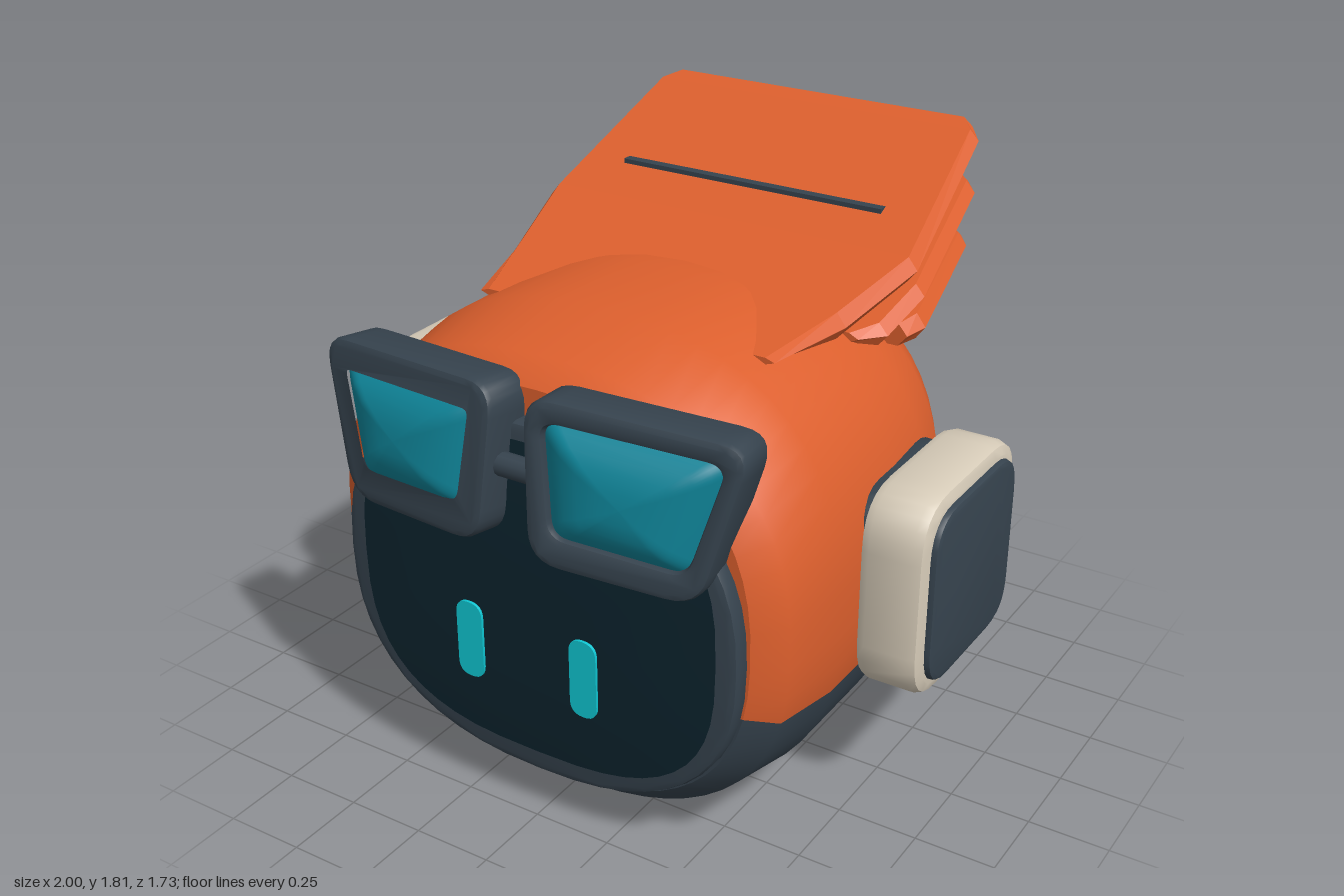
import * as THREE from 'three';
import { toCreasedNormals } from 'three/addons/utils/BufferGeometryUtils.js';

const mat = (name, color) => {
  const m = new THREE.MeshStandardMaterial({ color });
  m.name = name;
  return m;
};

// Skin over closed rings, front to back, each anticlockwise seen from the front.
function loft(rings) {
  const n = rings[0].length, index = [];
  for (let j = 0; j < n; j++) {
    const k = (j + 1) % n;
    for (let i = 0; i < rings.length - 1; i++) {
      const a = i * n, b = a + n;
      index.push(a + j, b + j, b + k, a + j, b + k, a + k);
    }
  }
  const g = new THREE.BufferGeometry();
  g.setAttribute('position', new THREE.Float32BufferAttribute(rings.flat(2), 3));
  g.setIndex(index);
  g.computeVertexNormals();
  return g;
}

const power = (v, e) => Math.sign(v) * Math.abs(v) ** e;

// Squared-off oval
function ovalShape(hw, cy, hh, n, count = 48) {
  const pts = [];
  for (let i = 0; i < count; i++) {
    const t = (i / count) * Math.PI * 2;
    pts.push(new THREE.Vector2(hw * power(Math.cos(t), 2 / n), cy + hh * power(Math.sin(t), 2 / n)));
  }
  return new THREE.Shape(pts);
}

// Polygon with rounded corners
function roundedPoly(points, r) {
  const p = points.map(([x, y]) => new THREE.Vector2(x, y));
  const shape = new THREE.Shape();
  p.forEach((c, i) => {
    const prev = p[(i + p.length - 1) % p.length], next = p[(i + 1) % p.length];
    const a = c.clone().add(prev.clone().sub(c).setLength(r));
    const b = c.clone().add(next.clone().sub(c).setLength(r));
    if (i) shape.lineTo(a.x, a.y); else shape.moveTo(a.x, a.y);
    shape.quadraticCurveTo(c.x, c.y, b.x, b.y);
  });
  shape.closePath();
  return shape;
}

const rect = (w, h, r) =>
  roundedPoly([[w / 2, h / 2], [-w / 2, h / 2], [-w / 2, -h / 2], [w / 2, -h / 2]], r);

// Bevelled slab from z = 0 to z = depth that keeps to its outline
function slab(shape, depth, bevel) {
  const g = new THREE.ExtrudeGeometry(shape, {
    depth: depth - 2 * bevel, bevelEnabled: bevel > 0, bevelThickness: bevel,
    bevelSize: bevel, bevelOffset: -bevel, bevelSegments: 2, curveSegments: 6,
  });
  g.translate(0, 0, bevel);
  return toCreasedNormals(g, 0.6);
}

// Bulging sheet filling an outline
function dome(shape, bulge, cx = 0, cy = 0) {
  const pts = shape.getPoints(6);
  if (pts[0].distanceTo(pts[pts.length - 1]) < 1e-4) pts.pop();
  if (THREE.ShapeUtils.isClockWise(pts)) pts.reverse();
  return loft([0, 0.25, 0.5, 0.7, 0.85, 1].map((t) =>
    pts.map((p) => [cx + (p.x - cx) * t, cy + (p.y - cy) * t, bulge * (1 - t ** 3)])));
}

// Head sections: z, half width, bottom, top, height of the colour seam
const SECTIONS = [
  [0.685, 0.001, 0.53, 0.57, 0.55], [0.685, 0.68, 0.13, 1.37, 0.55], [0.685, 0.68, 0.13, 1.37, 0.55],
  [0.62, 0.765, 0.075, 1.44, 0.53], [0.37, 0.79, 0.01, 1.5, 0.5], [0, 0.785, 0.003, 1.5, 0.49],
  [-0.2, 0.77, 0.02, 1.485, 0.49], [-0.36, 0.735, 0.04, 1.45, 0.5], [-0.48, 0.67, 0.1, 1.4, 0.51],
  [-0.57, 0.58, 0.16, 1.32, 0.54], [-0.6, 0.53, 0.22, 1.28, 0.43], [-0.64, 0.43, 0.34, 1.18, 0.52],
  [-0.67, 0.32, 0.46, 1.07, 0.55], [-0.695, 0.12, 0.65, 0.86, 0.66], [-0.7, 0.001, 0.749, 0.751, 0.75],
];

function headGeometry() {
  const up = 32, low = 24, n = 2.4;
  const rings = SECTIONS.map(([z, hw, y0, y1, seam]) => {
    const cy = (y0 + y1) / 2, hh = (y1 - y0) / 2;
    const s = THREE.MathUtils.clamp((seam - cy) / hh, -1, 1);
    const t0 = Math.asin(power(s, n / 2)), span = Math.PI - 2 * t0;
    const ring = [];
    for (let j = 0; j < up + low; j++) {
      const t = j < up ? t0 + (span * j) / up
        : t0 + span + ((Math.PI * 2 - span) * (j - up)) / low;
      ring.push([hw * power(Math.cos(t), 2 / n), cy + hh * power(Math.sin(t), 2 / n), z]);
    }
    return ring;
  });
  const g = loft(rings), per = (rings.length - 1) * 6;
  g.addGroup(0, up * per, 0);
  g.addGroup(up * per, low * per, 1);
  return g;
}

// Crest plate from stations: z, y, half width, thickness
function plateGeometry(stations) {
  const rings = stations.map(([z, y, w, t]) => {
    const h = t / 2, e = w - 0.03;
    return [[w, y, z], [e, y + h, z], [-e, y + h, z], [-w, y, z], [-e, y - h, z], [e, y - h, z]];
  });
  const cap = ([z, y]) => Array.from({ length: 6 }, () => [0, y, z]);
  const g = loft([cap(stations[0]), ...rings, cap(stations[stations.length - 1])]);
  const flat = g.toNonIndexed();
  flat.computeVertexNormals();
  return flat;
}

export function createModel() {
  const root = new THREE.Group();
  root.name = 'robotHead';
  const orange = mat('orange', 0xdc5f2d), dark = mat('slate', 0x36434e), cream = mat('cream', 0xd6cbb8);
  const screenMat = mat('screenBlack', 0x0c232d), lensMat = mat('teal', 0x0f8498);
  const eyeMat = mat('cyan', 0x0fc6d2), slotMat = mat('slotBlack', 0x171d22);
  const add = (parent, name, geo, material, x = 0, y = 0, z = 0) => {
    const m = new THREE.Mesh(geo, material);
    m.name = name;
    m.position.set(x, y, z);
    parent.add(m);
    return m;
  };

  add(root, 'headShell', headGeometry(), [orange, dark]);

  // Face
  add(root, 'faceRim', slab(ovalShape(0.67, 0.72, 0.565, 2.4), 0.075, 0.02), dark, 0, 0, 0.662);
  add(root, 'faceScreen', dome(ovalShape(0.605, 0.73, 0.505, 2.8), 0.018, 0, 0.73), screenMat, 0, 0, 0.739);

  for (const s of [1, -1]) {
    add(root, 'eye', slab(rect(0.09, 0.25, 0.044), 0.009, 0), eyeMat, s * 0.197, 0.565, 0.768);

    // Goggles
    const goggle = new THREE.Group();
    goggle.name = 'goggle';
    goggle.position.set(s * 0.35, 1.16, 0.64);
    goggle.rotation.set(-0.11, s * 0.12, 0);
    root.add(goggle);
    const side = (pts) => pts.map(([x, y]) => [s * x, y]);
    const opening = side([[0.265, 0.16], [-0.265, 0.17], [-0.225, -0.145], [0.175, -0.16]]);
    const frame = roundedPoly(side([[0.34, 0.225], [-0.325, 0.24], [-0.29, -0.235], [0.22, -0.245]]), 0.1);
    frame.holes.push(roundedPoly(opening, 0.05));
    add(goggle, 'goggleFrame', slab(frame, 0.165, 0.02), dark);
    add(goggle, 'goggleLens', dome(roundedPoly(side([[0.28, 0.175], [-0.28, 0.185], [-0.24, -0.16], [0.19, -0.175]]), 0.05), 0.085), lensMat, 0, 0, 0.125);

    // Ear pads
    const ear = new THREE.Group();
    ear.name = 'earPad';
    ear.position.set(s * 0.72, 0.77, -0.035);
    ear.rotation.y = (s * Math.PI) / 2;
    root.add(ear);
    add(ear, 'earMount', slab(rect(0.54, 0.56, 0.14), 0.12, 0.01), dark);
    add(ear, 'earCushion', slab(rect(0.635, 0.64, 0.17), 0.2, 0.035), cream, 0, 0, 0.06);
    add(ear, 'earCover', slab(rect(0.54, 0.55, 0.13), 0.05, 0.015), dark, 0, 0, 0.23);
  }
  const bridge = add(root, 'goggleBridge', new THREE.CylinderGeometry(0.035, 0.035, 0.12, 12), dark, 0, 1.17, 0.77);
  bridge.rotation.z = Math.PI / 2;

  // Crest of three swept plates with spacers between them
  const plates = [
    [[0.27, 1.41, 0.5, 0.02], [0, 1.435, 0.575, 0.08], [-0.3, 1.52, 0.645, 0.075], [-0.82, 1.76, 0.585, 0.065], [-0.87, 1.787, 0.54, 0.05]],
    [[-0.11, 1.355, 0.56, 0.03], [-0.18, 1.355, 0.62, 0.07], [-0.35, 1.425, 0.65, 0.07], [-0.82, 1.595, 0.585, 0.07], [-0.87, 1.61, 0.54, 0.05]],
    [[-0.29, 1.315, 0.63, 0.07], [-0.36, 1.325, 0.655, 0.08], [-0.82, 1.42, 0.57, 0.075], [-0.87, 1.43, 0.53, 0.05]],
  ];
  plates.forEach((p) => add(root, 'crestPlate', plateGeometry(p), orange));
  add(root, 'upperSpacer', new THREE.BoxGeometry(0.91, 0.08, 0.27), dark, 0, 1.592, -0.568);
  add(root, 'lowerSpacer', new THREE.BoxGeometry(0.91, 0.08, 0.27), dark, 0, 1.41, -0.568);

  // Rear vent box
  const vent = new THREE.Group();
  vent.name = 'rearVent';
  vent.position.set(0, 0.43, -0.58);
  vent.rotation.y = Math.PI;
  root.add(vent);
  add(vent, 'ventHousing', slab(rect(0.88, 0.465, 0.07), 0.165, 0.025), orange);
  add(vent, 'ventPanel', slab(rect(0.78, 0.41, 0.06), 0.06, 0.02), dark, 0, 0, 0.127);
  for (const y of [0.06, -0.06]) {
    add(vent, 'ventSlot', slab(rect(0.46, 0.04, 0.019), 0.006, 0), slotMat, 0, y, 0.184);
  }
  return root;
}
